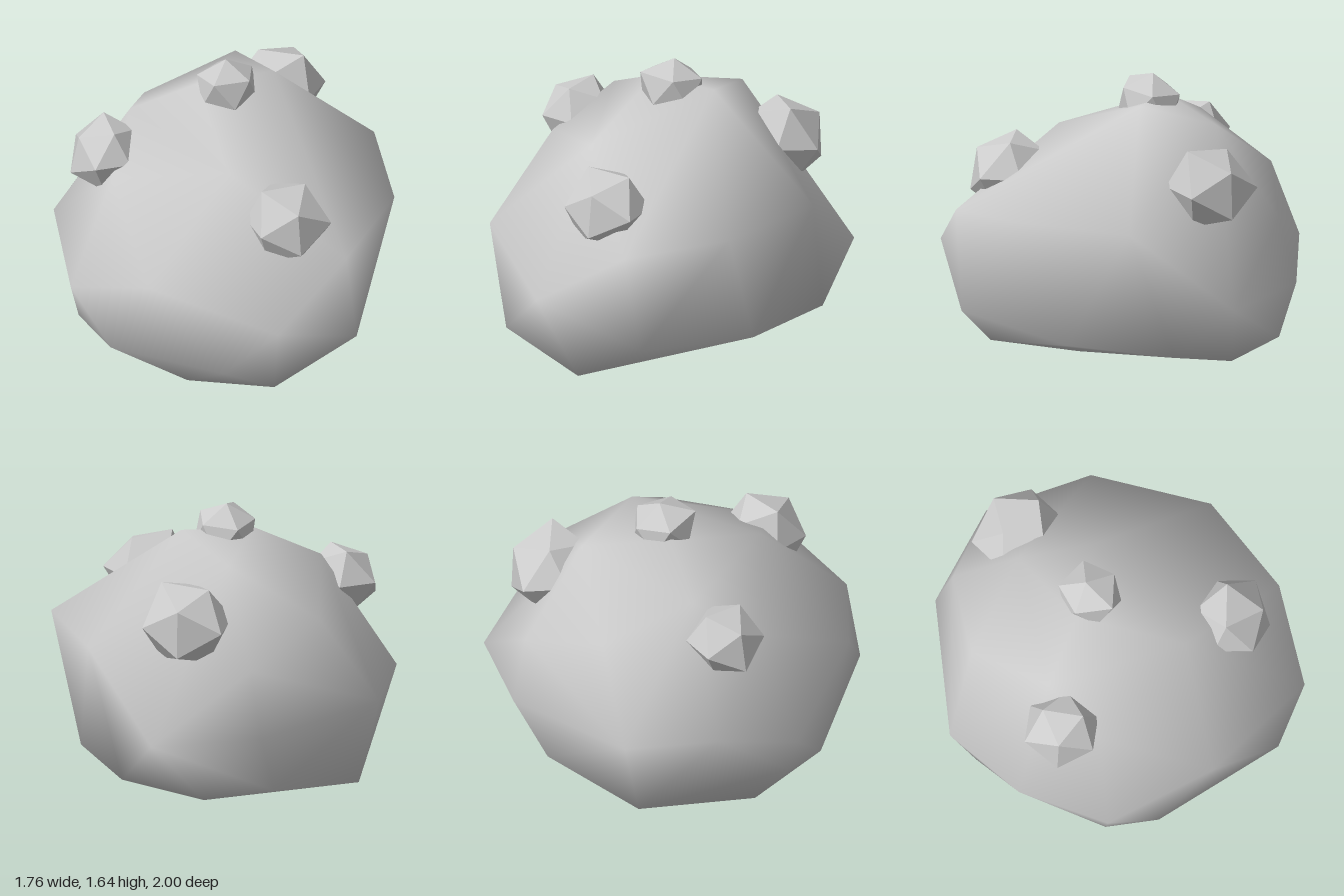
import * as THREE from 'three';
import { ConvexGeometry } from 'three/addons/geometries/ConvexGeometry.js';
import { mergeVertices } from 'three/addons/utils/BufferGeometryUtils.js';

// Corners of the large boulder
const corners = [
  // underside
  [-0.31, 0, 0.33], [-0.61, 0.04, -0.01], [0.06, 0.13, 0.71], [-0.5, 0.18, -0.68],
  [0.4, 0.2, -0.7], [0.07, 0.26, -0.87], [0.78, 0.3, -0.49], [0.76, 0.32, 0.1],
  [-0.73, 0.28, 0.33], [-0.83, 0.33, 0.06],
  // girth
  [0, 0.65, 1], [-0.27, 0.39, 0.9], [0.5, 0.4, 0.75], [-0.6, 0.8, 0.6],
  [-0.88, 0.53, 0.08], [-0.84, 0.71, -0.4], [-0.56, 0.66, -0.81], [0.2, 0.6, -1],
  [0.75, 0.57, -0.81], [0.88, 0.98, -0.27], [0.81, 0.99, 0.38], [0.43, 0.93, 0.8],
  // crown
  [0.22, 0.95, -0.91], [-0.25, 1.13, -0.74], [-0.63, 1.12, 0], [-0.45, 1.34, -0.3],
  [-0.1, 1.3, 0.38], [0.2, 1.43, -0.56], [-0.11, 1.5, -0.2], [0.3, 1.53, -0.17],
];

// Small stones: centre, outward direction, radius along the surface, height
const stones = [
  { name: 'frontStone', at: [0.16, 1.09, 0.6], out: [0.1, 0.6, 0.75], r: 0.235, h: 0.19 },
  { name: 'topStone', at: [0.04, 1.49, -0.15], out: [0, 1, -0.15], r: 0.19, h: 0.17 },
  { name: 'rightStone', at: [-0.62, 1.17, -0.2], out: [-0.8, 0.6, 0], r: 0.205, h: 0.17 },
  { name: 'backStone', at: [0.46, 1.16, -0.6], out: [0.5, 0.5, -0.65], r: 0.245, h: 0.2 },
];

// Icosahedron with a corner facing +z, roughened by a position rule
function stoneGeometry(seed) {
  const geo = new THREE.IcosahedronGeometry(1, 0);
  geo.rotateX(Math.atan(2 / (1 + Math.sqrt(5))));
  const p = geo.attributes.position;
  const v = new THREE.Vector3();
  for (let i = 0; i < p.count; i++) {
    v.fromBufferAttribute(p, i);
    v.multiplyScalar(1 + 0.08 * Math.sin(3.1 * v.x + 4.3 * v.y + 2.7 * v.z + seed * 1.9));
    p.setXYZ(i, v.x, v.y, v.z);
  }
  geo.computeVertexNormals();
  return geo;
}

export function createModel() {
  const group = new THREE.Group();
  group.name = 'rock';

  // Boulder with softly shaded facets
  let hull = new ConvexGeometry(corners.map((c) => new THREE.Vector3(...c)));
  hull.deleteAttribute('normal');
  hull = mergeVertices(hull);
  hull.computeVertexNormals();
  const boulder = new THREE.Mesh(hull, new THREE.MeshStandardMaterial({ color: 0xcccccc }));
  boulder.name = 'boulder';
  group.add(boulder);

  // Stones half sunk into the boulder
  const stoneMaterial = new THREE.MeshStandardMaterial({ color: 0xcccccc, flatShading: true });
  stones.forEach(({ name, at, out, r, h }, i) => {
    const stone = new THREE.Mesh(stoneGeometry(i), stoneMaterial);
    stone.name = name;
    stone.position.set(...at);
    stone.lookAt(new THREE.Vector3(...out).add(stone.position));
    stone.scale.set(r, r, h);
    group.add(stone);
  });
  return group;
}
